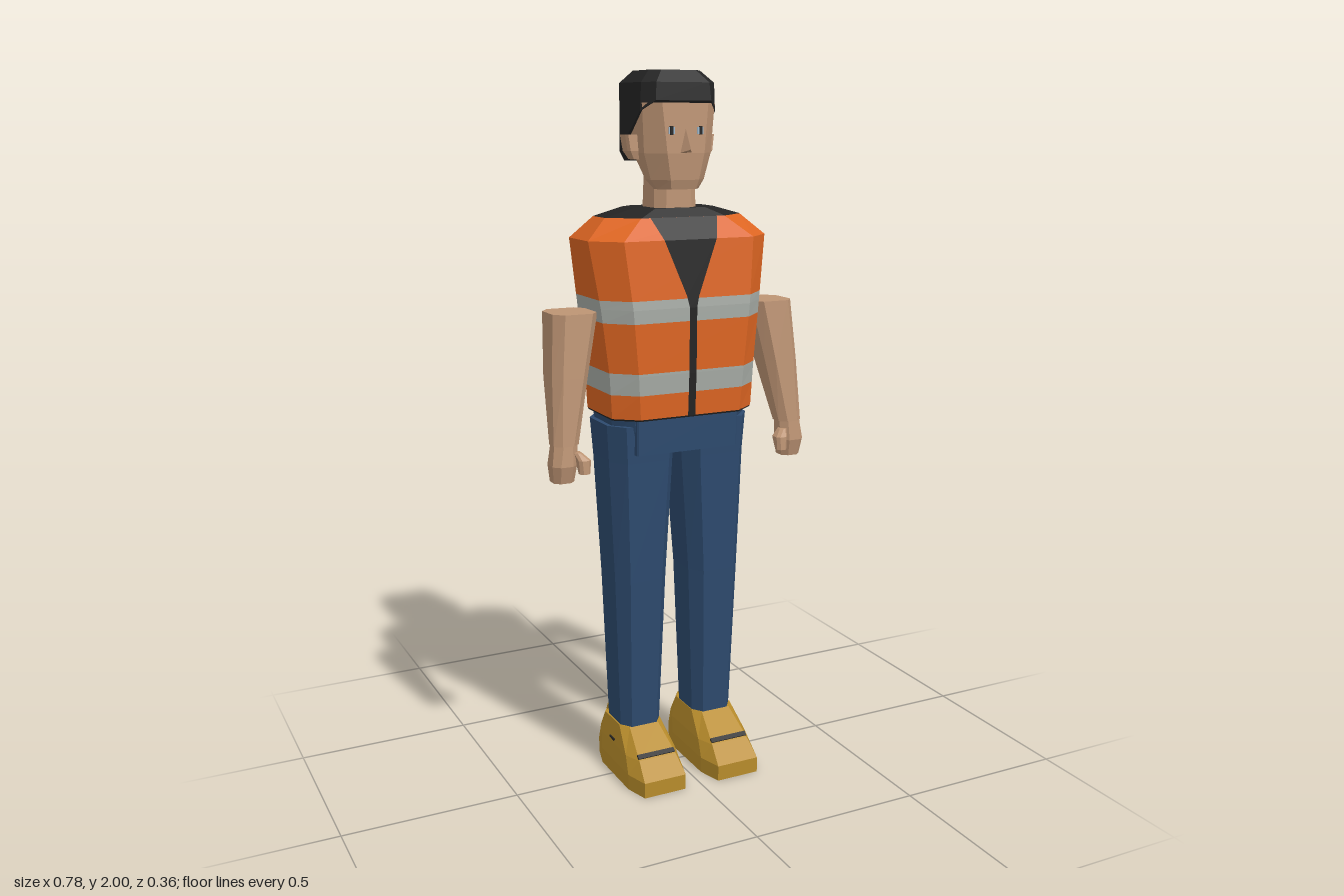
import * as THREE from 'three';

const mat = (name, color, opts = {}) => {
  const m = new THREE.MeshStandardMaterial({ color, flatShading: true, ...opts });
  m.name = name;
  return m;
};

export function createModel() {
  const skin = mat('skin', 0xbd9474), orange = mat('orange fabric', 0xdd6522);
  const silver = mat('reflective grey', 0xa7aca6), black = mat('black', 0x242424);
  const denim = mat('blue denim', 0x2d4a6e), mustard = mat('mustard leather', 0xb88c2b);
  const blue = mat('eye blue', 0x9db8cc);
  const model = new THREE.Group();
  model.name = 'worker';

  const add = (name, tris, material) => {
    const g = new THREE.BufferGeometry();
    g.setAttribute('position', new THREE.Float32BufferAttribute(tris.flat(), 3));
    g.computeVertexNormals();
    const mesh = new THREE.Mesh(g, material);
    mesh.name = name;
    model.add(mesh);
    return mesh;
  };

  // Chamfered rectangle: [y, x0, x1, zFront, zBack, chamferX, chamferZ, tilt]
  const ring = ([y, x0, x1, zf, zb, cx, cz, tilt = 0]) => [
    [x0 + cx, zf], [x1 - cx, zf], [x1, zf - cz], [x1, zb + cz],
    [x1 - cx, zb], [x0 + cx, zb], [x0, zb + cz], [x0, zf - cz],
  ].map(([x, z]) => [x, y + tilt * z, z]);

  // Skin a stack of rings, listed from bottom to top
  const loft = (name, material, rows, caps = true) => {
    const r = rows.map(ring), t = [];
    for (let k = 0; k < r.length - 1; k++) {
      for (let i = 0; i < 8; i++) {
        const j = (i + 1) % 8, a = r[k], b = r[k + 1];
        t.push(...a[i], ...a[j], ...b[j], ...a[i], ...b[j], ...b[i]);
      }
    }
    if (caps) {
      const lo = r[0], hi = r[r.length - 1];
      for (let i = 1; i < 7; i++) {
        t.push(...hi[0], ...hi[i], ...hi[i + 1], ...lo[0], ...lo[i + 1], ...lo[i]);
      }
    }
    return add(name, t, material);
  };
  const mirror = (rows, s) => rows.map(([y, a, b, ...rest]) => (s > 0 ? [y, a, b, ...rest] : [y, -b, -a, ...rest]));
  const box = (name, material, w, h, d, x, y, z) => {
    const mesh = new THREE.Mesh(new THREE.BoxGeometry(w, h, d), material);
    mesh.name = name;
    mesh.position.set(x, y, z);
    model.add(mesh);
    return mesh;
  };

  // Vest, cut into orange and reflective bands along one profile
  const vest = [
    [1.08, -0.215, 0.215, 0.103, -0.17, 0.063, 0.05],
    [1.2, -0.222, 0.222, 0.11, -0.175, 0.062, 0.055],
    [1.38, -0.242, 0.242, 0.113, -0.183, 0.066, 0.065],
    [1.56, -0.268, 0.268, 0.096, -0.173, 0.074, 0.068],
    [1.617, -0.205, 0.205, 0.055, -0.145, 0.08, 0.06],
  ];
  const at = (y) => {
    const k = Math.max(0, Math.min(vest.length - 2, vest.findIndex((v) => v[0] >= y) - 1));
    const f = (y - vest[k][0]) / (vest[k + 1][0] - vest[k][0]);
    return vest[k].map((v, i) => v + (vest[k + 1][i] - v) * f);
  };
  const cuts = [1.08, 1.147, 1.207, 1.343, 1.404, 1.617];
  for (let i = 0; i < 5; i++) {
    const inner = vest.filter((v) => v[0] > cuts[i] && v[0] < cuts[i + 1]);
    loft(i % 2 ? 'reflectiveBand' : 'vestPanel', i % 2 ? silver : orange,
      [at(cuts[i]), ...inner, at(cuts[i + 1])], false);
  }
  loft('vestHem', black, [[1.075, -0.213, 0.213, 0.1, -0.167, 0.063, 0.05], at(1.081)]);

  // Front zip and shirt opening follow the vest front
  const opening = [[1.08, 0.011], [1.2, 0.011], [1.38, 0.011], [1.41, 0.018], [1.56, 0.078], [1.617, 0.1]];
  const strip = [];
  for (let i = 0; i < opening.length - 1; i++) {
    const [[y0, w0], [y1, w1]] = [opening[i], opening[i + 1]];
    const z0 = at(y0)[3] + 0.004, z1 = at(y1)[3] + 0.004;
    strip.push(-w0, y0, z0, w0, y0, z0, w1, y1, z1, -w0, y0, z0, w1, y1, z1, -w1, y1, z1);
  }
  add('shirtOpening', strip, black);
  loft('shirtCollar', black, [
    [1.617, -0.205, 0.205, 0.058, -0.145, 0.08, 0.06],
    [1.64, -0.12, 0.12, 0.035, -0.125, 0.045, 0.04],
  ]);

  // Neck and head
  loft('neck', skin, [
    [1.62, -0.064, 0.064, 0.028, -0.095, 0.025, 0.025],
    [1.74, -0.06, 0.06, 0.025, -0.092, 0.025, 0.025],
  ]);
  loft('head', skin, [
    [1.69, -0.062, 0.062, 0.056, -0.035, 0.025, 0.035],
    [1.715, -0.08, 0.08, 0.064, -0.06, 0.038, 0.045],
    [1.785, -0.1, 0.1, 0.07, -0.1, 0.045, 0.05],
    [1.915, -0.108, 0.108, 0.066, -0.125, 0.04, 0.04],
  ]);
  loft('hair', black, [
    [1.877, -0.112, 0.112, 0.056, -0.147, 0.03, 0.035, 0.79],
    [1.968, -0.108, 0.108, 0.052, -0.149, 0.03, 0.03],
    [2.0, -0.076, 0.076, 0.025, -0.125, 0.025, 0.025],
  ]);

  // Nose: a four-cornered wedge
  const [top, tip, nl, nr] = [[0, 1.852, 0.066], [0, 1.795, 0.098], [-0.019, 1.785, 0.066], [0.019, 1.785, 0.066]];
  add('nose', [...top, ...nl, ...tip, ...top, ...tip, ...nr, ...nl, ...nr, ...tip], skin);

  // Legs and hips
  loft('hips', denim, [
    [0.975, -0.155, 0.155, 0.085, -0.153, 0.004, 0.004],
    [1.085, -0.155, 0.155, 0.088, -0.157, 0.004, 0.004],
  ]);
  loft('waist', denim, [
    [1.03, -0.2, 0.2, 0.07, -0.145, 0.045, 0.05],
    [1.085, -0.208, 0.208, 0.08, -0.15, 0.05, 0.05],
  ]);

  for (const s of [1, -1]) {
    const part = (name, material, rows) => loft(name, material, mirror(rows, s));

    part('leg', denim, [
      [0.14, 0.055, 0.178, 0.037, -0.108, 0.022, 0.03],
      [0.6, 0.037, 0.195, 0.056, -0.122, 0.03, 0.04],
      [0.95, 0.014, 0.21, 0.066, -0.145, 0.035, 0.05],
      [1.055, 0.008, 0.217, 0.07, -0.15, 0.037, 0.05],
    ]);

    // Shoe with raised heel tab and dark lace
    part('shoe', mustard, [
      [0, 0.033, 0.202, 0.18, -0.146, 0.02, 0.07],
      [0.045, 0.033, 0.202, 0.18, -0.148, 0.02, 0.07],
      [0.09, 0.04, 0.195, 0.128, -0.147, 0.02, 0.05],
      [0.153, 0.053, 0.183, 0.037, -0.125, 0.02, 0.03],
    ]);
    part('heelTab', mustard, [
      [0.11, 0.065, 0.175, -0.08, -0.147, 0.015, 0.02],
      [0.17, 0.07, 0.17, -0.085, -0.122, 0.015, 0.015],
    ]);
    const lace = box('lace', black, 0.115, 0.014, 0.006, s * 0.118, 0.097, 0.119);
    lace.rotation.x = -0.95;
    box('shoeMark', black, 0.004, 0.006, 0.03, s * 0.194, 0.102, -0.02);

    // Arm, hand and thumb
    part('arm', skin, [
      [1.02, 0.313, 0.385, 0.068, -0.002, 0.02, 0.018],
      [1.2, 0.275, 0.378, 0.055, -0.06, 0.022, 0.025],
      [1.37, 0.237, 0.366, 0.042, -0.095, 0.025, 0.03],
    ]);
    part('hand', skin, [
      [0.917, 0.326, 0.385, 0.06, 0.0, 0.015, 0.015],
      [0.965, 0.32, 0.391, 0.072, -0.003, 0.018, 0.018],
      [1.02, 0.316, 0.383, 0.066, 0.0, 0.02, 0.018],
    ]);
    part('thumb', skin, [
      [0.943, 0.292, 0.322, 0.088, 0.06, 0.008, 0.008],
      [0.98, 0.29, 0.325, 0.086, 0.045, 0.008, 0.008],
      [1.0, 0.31, 0.332, 0.07, 0.04, 0.008, 0.008],
    ]);

    // Ear and eye
    part('ear', skin, [
      [1.768, 0.09, 0.115, -0.02, -0.055, 0.004, 0.008],
      [1.79, 0.09, 0.128, -0.014, -0.065, 0.005, 0.01],
      [1.833, 0.09, 0.134, -0.016, -0.07, 0.005, 0.01],
    ]);
    box('eye', blue, 0.018, 0.018, 0.006, s * 0.042, 1.844, 0.068);
    box('pupil', black, 0.009, 0.022, 0.008, s * 0.043, 1.844, 0.0685);
  }
  return model;
}
